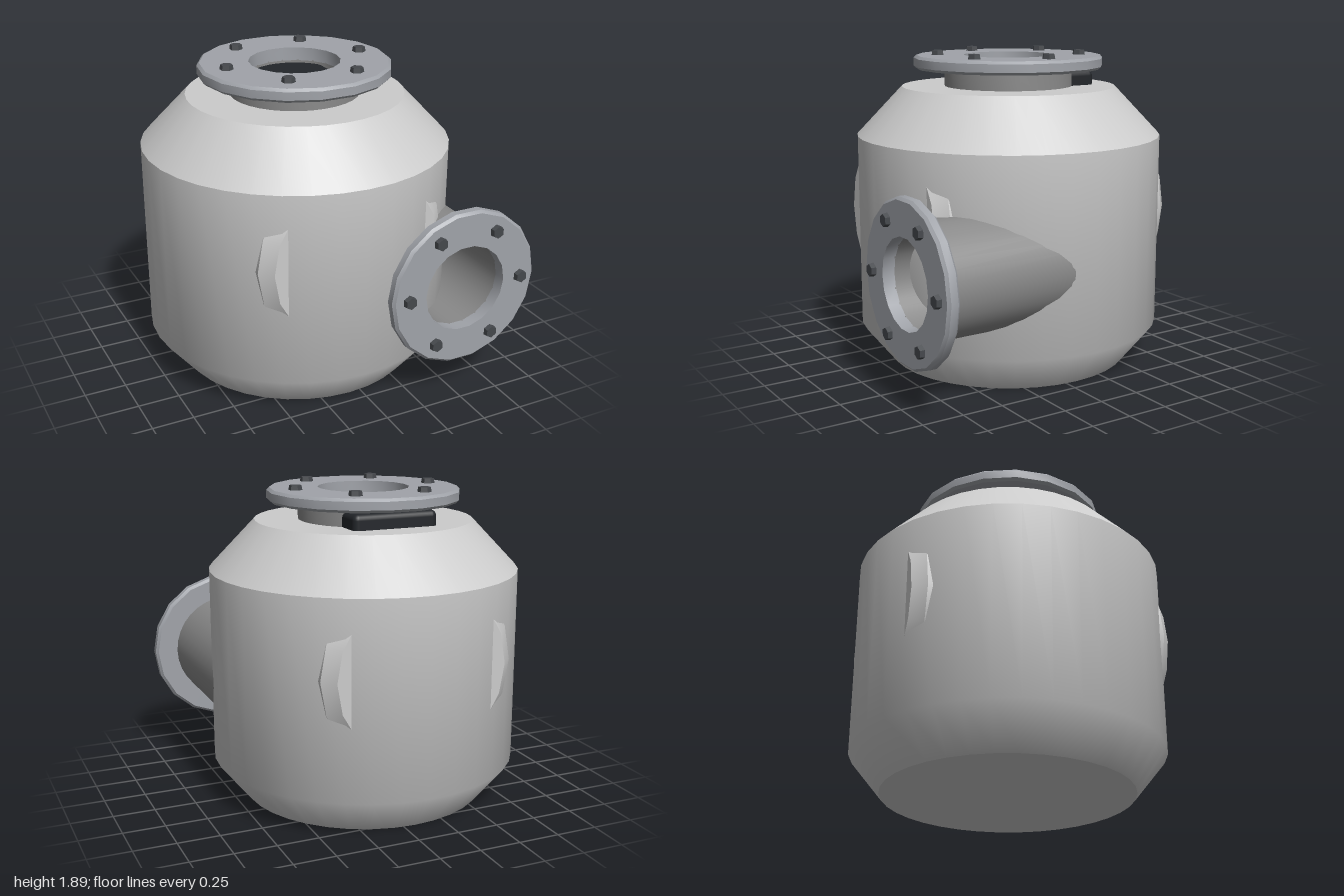
import * as THREE from 'three';
import { toCreasedNormals } from 'three/addons/utils/BufferGeometryUtils.js';
import { RoundedBoxGeometry } from 'three/addons/geometries/RoundedBoxGeometry.js';

const mat = (color, side = THREE.FrontSide) => new THREE.MeshStandardMaterial({ color, side });
const shell = mat(0xcccccc, THREE.DoubleSide);
const pipeGrey = mat(0x8a8a8a, THREE.DoubleSide);
const flangeGrey = mat(0xa0a3a9);
const boltDark = mat(0x45484c);
const black = mat(0x23262a);

const AXIS = -0.07; // x and z of the vessel's centre line

function mesh(name, geometry, material) {
  const m = new THREE.Mesh(geometry, material);
  m.name = name;
  return m;
}

// Revolve [radius, height] pairs, keeping sharp edges above the crease angle
function turned(points, sides, crease = 35) {
  const profile = points.map(([r, y]) => new THREE.Vector2(r, y));
  const g = new THREE.LatheGeometry(profile, sides, Math.PI / 2);
  return toCreasedNormals(g, THREE.MathUtils.degToRad(crease));
}

// Pipe stub along +y, ending in a bevelled flange with six hex bolts; y = 0 is the flange underside
function flangedPipe(name, { pipeR, holeR, flangeR, boltCircle, thick, length }) {
  const group = new THREE.Group();
  group.name = name;
  const b = 0.016;
  group.add(mesh('flange', turned([
    [holeR, 0], [flangeR - b, 0], [flangeR, b], [flangeR, thick - b],
    [flangeR - b, thick], [holeR, thick], [holeR, 0],
  ], 18), flangeGrey));
  group.add(mesh('pipe', turned([
    [pipeR, -length], [pipeR, 0.005], [holeR, 0.005], [holeR, -length],
  ], 32), pipeGrey));
  const boltGeo = new THREE.CylinderGeometry(0.036, 0.045, 0.05, 6).toNonIndexed();
  boltGeo.computeVertexNormals();
  for (let i = 0; i < 6; i++) {
    const a = (i * Math.PI) / 3;
    const bolt = mesh('bolt', boltGeo, boltDark);
    bolt.position.set(Math.cos(a) * boltCircle, thick + 0.003, Math.sin(a) * boltCircle);
    group.add(bolt);
  }
  return group;
}

export function createModel() {
  const model = new THREE.Group();
  model.name = 'pressureVessel';

  // Vessel shell with tapered base and shoulder, open under the neck
  const body = mesh('body', turned([
    [0, 0], [0.74, 0], [0.925, 0.23], [0.925, 1.39], [0.65, 1.68], [0.27, 1.68],
  ], 36, 41), shell);
  body.position.set(AXIS, 0, AXIS);
  model.add(body);

  // Bevelled inner drum whose rims break through the shell
  const drum = mesh('innerDrum', turned([
    [0, -0.815], [0.515, -0.815], [0.585, -0.745],
    [0.585, 0.745], [0.515, 0.815], [0, 0.815],
  ], 18), shell);
  drum.rotation.x = Math.PI / 2;
  drum.position.set(AXIS, 0.93, AXIS);
  model.add(drum);

  // Narrow rib along the top of the drum
  const rib = mesh('drumRib', new THREE.BoxGeometry(0.025, 0.03, 1.0), shell);
  rib.position.set(AXIS, 1.51, AXIS);
  model.add(rib);

  // Top neck
  const neck = flangedPipe('topNeck', {
    pipeR: 0.39, holeR: 0.272, flangeR: 0.575, boltCircle: 0.43, thick: 0.08, length: 0.11,
  });
  neck.position.set(AXIS, 1.785, AXIS);
  model.add(neck);

  // Offset side outlet facing the front
  const outlet = flangedPipe('frontOutlet', {
    pipeR: 0.335, holeR: 0.262, flangeR: 0.478, boltCircle: 0.373, thick: 0.075, length: 0.82,
  });
  outlet.rotation.x = Math.PI / 2;
  outlet.position.set(0.51, 0.71, 0.895);
  model.add(outlet);

  // Dark block inside the neck, showing behind it
  const block = mesh('innerBlock', new RoundedBoxGeometry(0.52, 0.4, 0.57, 3, 0.035), black);
  block.position.set(AXIS, 1.57, -0.245);
  model.add(block);

  return model;
}
